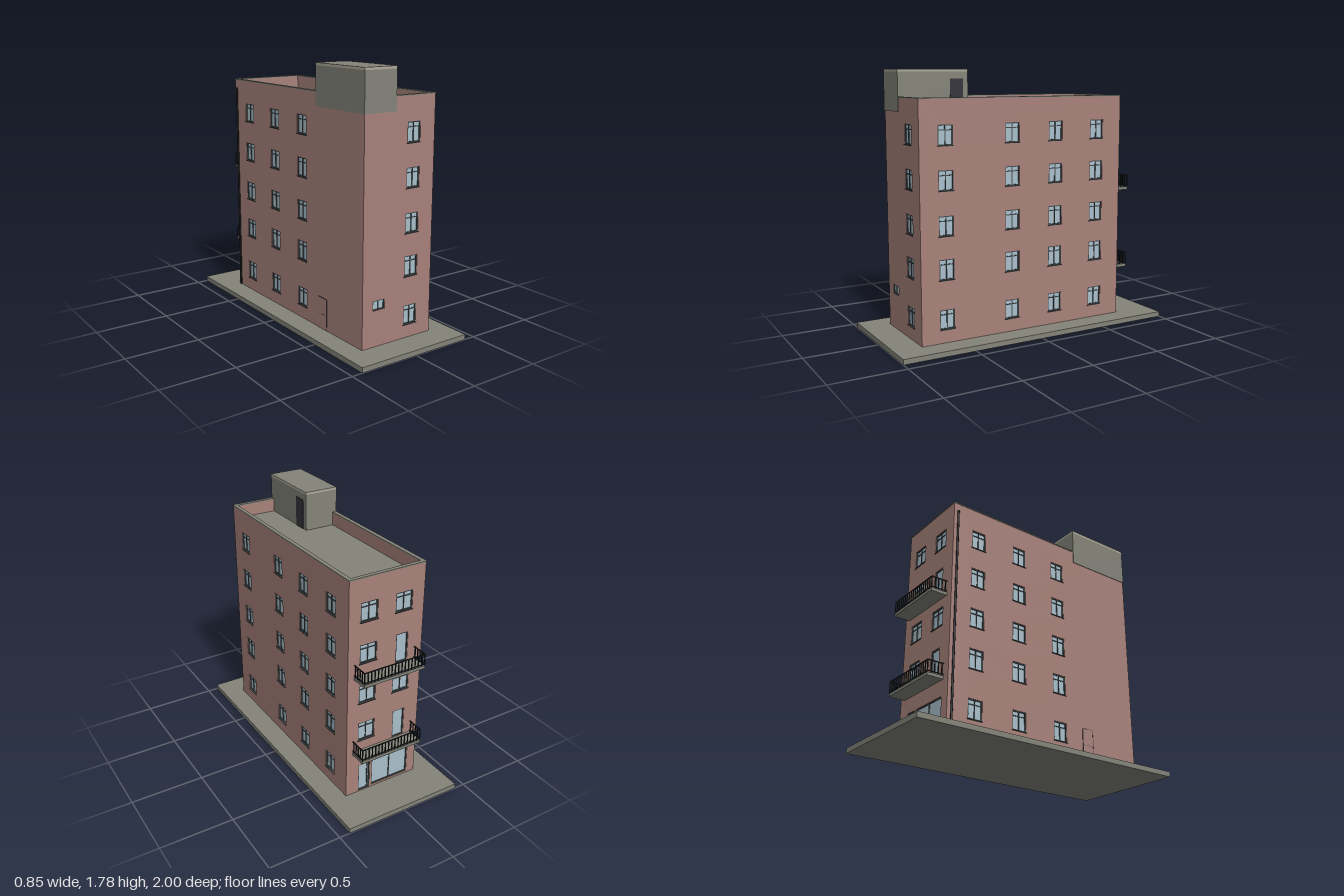
import * as THREE from 'three';

const mat = (name, color) => {
  const m = new THREE.MeshStandardMaterial({ color });
  m.name = name;
  return m;
};

export function createModel() {
  const brick = mat('brick', 0xa9827b);
  const concrete = mat('concrete', 0x84847a);
  const trim = mat('pale trim', 0xaea999);
  const frame = mat('window frame', 0x444b4c);
  const glass = mat('glass', 0xa9c0cc);
  const iron = mat('black iron', 0x1d2022);
  const doorDark = mat('dark door', 0x36343c);

  const model = new THREE.Group();
  model.name = 'apartmentBuilding';

  // Box given by its minimum and maximum corners
  const box = (parent, name, material, x0, x1, y0, y1, z0, z1) => {
    const m = new THREE.Mesh(new THREE.BoxGeometry(x1 - x0, y1 - y0, z1 - z0), material);
    m.position.set((x0 + x1) / 2, (y0 + y1) / 2, (z0 + z1) / 2);
    m.name = name;
    parent.add(m);
    return m;
  };
  const rect = (Type, x0, x1, y0, y1) => {
    const s = new Type();
    s.moveTo(x0, y0);
    s.lineTo(x1, y0);
    s.lineTo(x1, y1);
    s.lineTo(x0, y1);
    s.closePath();
    return s;
  };

  // Main dimensions
  const X0 = -0.28, X1 = 0.275, Z0 = -0.72, Z1 = 0.81;
  const GROUND = 0.035, DECK = 1.51, TOP = 1.598, T = 0.025;
  const rows = [[0.125, 0.255], [0.45, 0.585], [0.735, 0.865], [1.025, 1.155], [1.31, 1.44]];

  // One glazed opening: pane, frame bars, mullions, optional transom and sill
  const addWindow = (parent, { x0, x1, y0, y1, mullions = [0.5], transom = true, sill = true, name = 'window' }) => {
    const g = new THREE.Group();
    g.name = name;
    const b = 0.007, zb = -0.014, zf = -0.003;
    box(g, 'pane', glass, x0, x1, y0, y1, zb - 0.004, -0.009);
    box(g, 'frameLeft', frame, x0, x0 + b, y0, y1, zb, zf);
    box(g, 'frameRight', frame, x1 - b, x1, y0, y1, zb, zf);
    box(g, 'frameBottom', frame, x0 + b, x1 - b, y0, y0 + b, zb, zf);
    box(g, 'frameTop', frame, x0 + b, x1 - b, y1 - b, y1, zb, zf);
    for (const t of mullions) {
      const x = x0 + (x1 - x0) * t;
      box(g, 'mullion', frame, x - 0.003, x + 0.003, y0 + b, y1 - b, zb, zf - 0.001);
    }
    if (transom) {
      const y = y0 + (y1 - y0) * 0.74;
      box(g, 'transom', frame, x0 + b, x1 - b, y - 0.003, y + 0.003, zb, zf - 0.002);
    }
    if (sill) box(g, 'sill', frame, x0 - 0.004, x1 + 0.004, y0 - 0.005, y0, -0.014, 0.006);
    parent.add(g);
  };

  // Wall with openings; local +z points outward and z = 0 is the outer face
  const addWall = (name, x0, x1, openings) => {
    const g = new THREE.Group();
    g.name = name;
    const shape = rect(THREE.Shape, x0, x1, GROUND, TOP);
    for (const o of openings) shape.holes.push(rect(THREE.Path, o.x0, o.x1, o.y0, o.y1));
    const geo = new THREE.ExtrudeGeometry(shape, { depth: T, bevelEnabled: false });
    geo.translate(0, 0, -T);
    const wall = new THREE.Mesh(geo, brick);
    wall.name = name + 'Brickwork';
    g.add(wall);
    openings.forEach((o) => addWindow(g, o));
    model.add(g);
    return g;
  };
  const column = (c, w, levels = rows) =>
    levels.map(([y0, y1]) => ({ x0: c - w / 2, x1: c + w / 2, y0, y1 }));

  // Ground slab and roof deck
  box(model, 'groundSlab', concrete, -0.425, 0.425, 0, GROUND, -1, 1);
  box(model, 'roofDeck', concrete, X0 + T, X1 - T, DECK - 0.03, DECK, Z0 + T, Z1 - T);

  // Front wall, with a small stairwell window
  addWall('frontWall', X0, X1, [
    ...column(0.105, 0.104),
    { x0: -0.2, x1: -0.105, y0: 0.275, y1: 0.342, transom: false, sill: false, name: 'smallWindow' },
  ]).position.z = Z1;

  // Side walls
  const leftWall = addWall('leftWall', -Z1 + T, -Z0 - T,
    [0.63, 0.15, -0.185, -0.52].flatMap((z) => column(-z, 0.106)));
  leftWall.rotation.y = Math.PI / 2;
  leftWall.position.x = X1;

  const rightWall = addWall('rightWall', Z0 + T, Z1 - T,
    [0.15, -0.185, -0.52].flatMap((z) => column(z, 0.106)));
  rightWall.rotation.y = -Math.PI / 2;
  rightWall.position.x = X0;

  // Side entrance in the right wall
  const entrance = new THREE.Group();
  entrance.name = 'sideEntrance';
  box(entrance, 'doorLeaf', brick, 0.345, 0.43, GROUND, 0.25, -0.002, 0.003);
  box(entrance, 'jamb', frame, 0.342, 0.345, GROUND, 0.25, 0, 0.004);
  box(entrance, 'jamb', frame, 0.43, 0.433, GROUND, 0.25, 0, 0.004);
  box(entrance, 'head', frame, 0.342, 0.433, 0.25, 0.253, 0, 0.004);
  box(entrance, 'rail', frame, 0.345, 0.43, 0.138, 0.14, 0.001, 0.004);
  rightWall.add(entrance);

  // Back wall: windows, balcony doors, shop front (local x is mirrored)
  const balconyLevels = [0.375, 0.945];
  const backWall = addWall('backWall', -X1, -X0, [
    ...column(-0.128, 0.125, rows.slice(1)),
    ...column(0.128, 0.125, [rows[2], rows[4]]),
    ...balconyLevels.map((y) => ({
      x0: 0.08, x1: 0.17, y0: y + 0.003, y1: y + 0.21,
      mullions: [], transom: false, sill: false, name: 'balconyDoor',
    })),
    { x0: -0.18, x1: -0.09, y0: 0.04, y1: 0.25, mullions: [0.8], transom: false, sill: false, name: 'shopDoor' },
    { x0: -0.075, x1: 0.215, y0: 0.05, y1: 0.25, transom: false, sill: false, name: 'shopWindow' },
  ]);
  backWall.rotation.y = Math.PI;
  backWall.position.z = Z0;

  // Balconies with iron railings
  for (const y of balconyLevels) {
    const g = new THREE.Group();
    g.name = 'balcony';
    const xs = 0.23, zo = -0.835, r = 0.006, h = 0.085;
    box(g, 'balconySlab', concrete, -xs, xs, y - 0.02, y, zo, Z0);
    for (const [name, a, b] of [['topRail', y + h - r, y + h], ['bottomRail', y + 0.008, y + 0.013]]) {
      box(g, name, iron, -xs, xs, a, b, zo, zo + r);
      box(g, name, iron, -xs, -xs + r, a, b, zo + r, Z0);
      box(g, name, iron, xs - r, xs, a, b, zo + r, Z0);
    }
    const bar = (x, z) => box(g, 'baluster', iron, x - 0.003, x + 0.003, y, y + h - r, z - 0.003, z + 0.003);
    for (let i = 0; i <= 18; i++) bar(-xs + 0.003 + (i * (2 * xs - r)) / 18, zo + 0.003);
    for (let i = 1; i <= 4; i++) {
      const z = zo + 0.003 + i * 0.025;
      bar(-xs + 0.003, z);
      bar(xs - 0.003, z);
    }
    model.add(g);
  }

  // Parapet coping
  const ring = rect(THREE.Shape, X0 - 0.003, X1 + 0.003, -Z1 - 0.003, -Z0 + 0.003);
  ring.holes.push(rect(THREE.Path, X0 + T, X1 - T, -Z1 + T, -Z0 - T));
  const copingGeo = new THREE.ExtrudeGeometry(ring, { depth: 0.008, bevelEnabled: false });
  copingGeo.rotateX(-Math.PI / 2);
  const coping = new THREE.Mesh(copingGeo, concrete);
  coping.position.y = TOP;
  coping.name = 'parapetCoping';
  model.add(coping);

  // Rooftop stair house with pale edge band and door
  const house = new THREE.Group();
  house.name = 'stairHouse';
  box(house, 'stairHouseWalls', concrete, X0 - 0.004, -0.04, DECK, 1.765, 0.313, Z1 + 0.004);
  box(house, 'stairHouseRoof', [trim, trim, concrete, concrete, trim, trim],
    X0 - 0.004, -0.04, 1.765, 1.782, 0.313, Z1 + 0.004);
  box(house, 'roofDoor', doorDark, -0.042, -0.036, DECK, 1.72, 0.35, 0.445);
  model.add(house);

  // Downpipe at the back right corner
  const pipe = new THREE.Mesh(new THREE.CylinderGeometry(0.007, 0.007, 1.505, 12), iron);
  pipe.position.set(X0 - 0.006, 0.0375 + 0.7525, -0.69);
  pipe.name = 'downpipe';
  model.add(pipe);

  return model;
}
